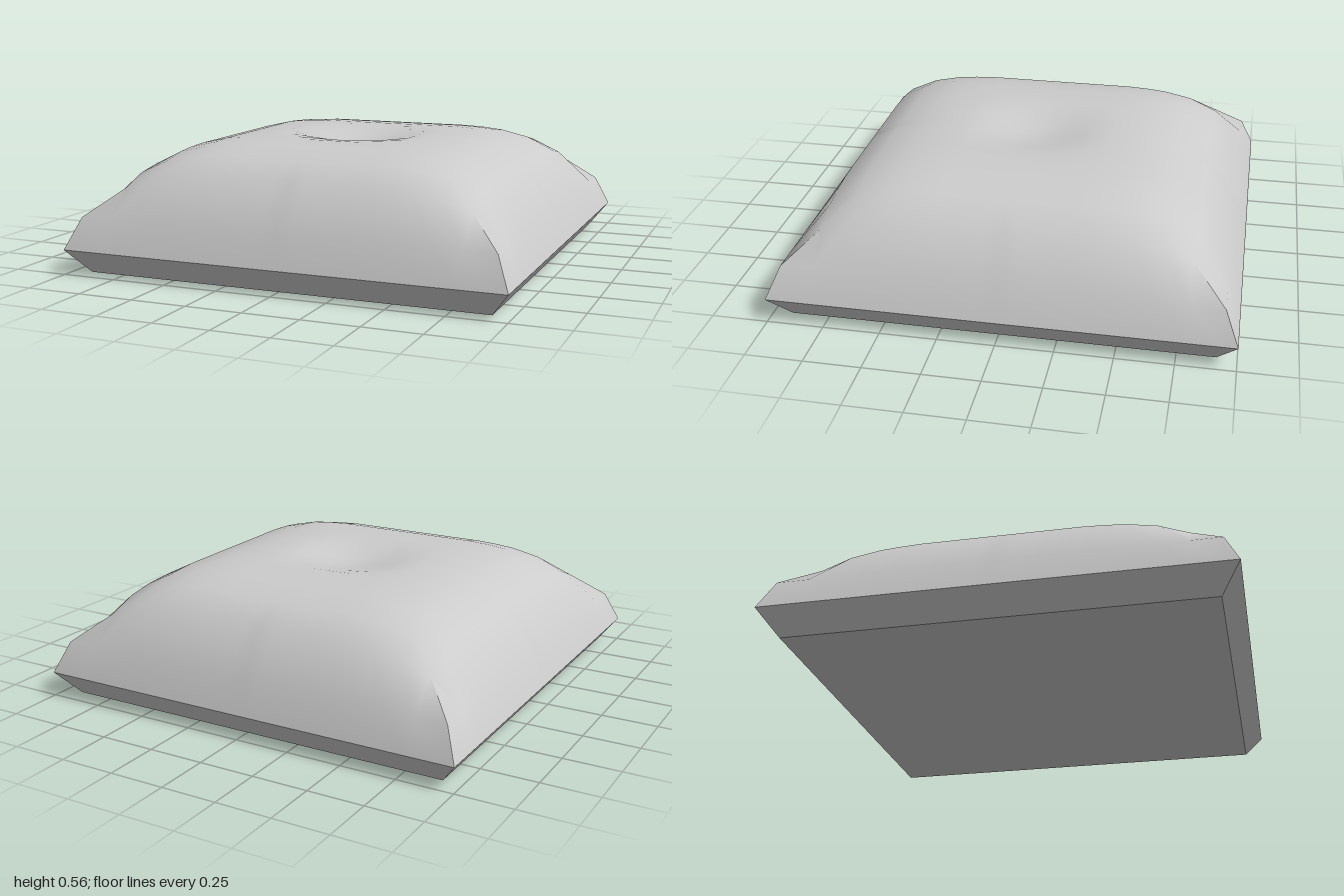
import * as THREE from 'three';
import { toCreasedNormals } from 'three/addons/utils/BufferGeometryUtils.js';

const RIM = 0.11; // height of the widest edge
const PUFF = 0.45; // rise of the padding above the rim

// [distance from the centre, share of the full puff]
const profile = [
  [0, 1], [0.07, 1], [0.14, 1], [0.21, 1], [0.28, 1], [0.35, 1], [0.45, 0.988],
  [0.54, 0.967], [0.67, 0.9], [0.8, 0.755], [0.94, 0.31], [1, 0],
];

function cushionTop() {
  const mirrored = profile.slice(1).reverse().map(([d, f]) => [-d, f]);
  const line = [...mirrored, ...profile];
  const n = line.length;
  const positions = [];
  const index = [];
  for (const [z, fz] of line) {
    for (const [x, fx] of line) {
      const outer = Math.max(Math.abs(x), Math.abs(z));
      // the outer ring keeps one height, which pinches the corners up
      const share = outer > 0.9 ? Math.min(fx, fz) : fx * fz;
      const r = Math.min(1, Math.hypot(x, z) / 0.34);
      const dimple = 0.045 * (1 - r * r) ** 2;
      positions.push(x, RIM + PUFF * share - dimple, z);
    }
  }
  for (let j = 0; j < n - 1; j++) {
    for (let i = 0; i < n - 1; i++) {
      const a = j * n + i, b = a + 1, c = a + n, d = c + 1;
      // quads are split along the line towards their corner
      const outward = (line[i][0] + line[i + 1][0]) * (line[j][0] + line[j + 1][0]) > 0;
      if (outward) index.push(a, c, d, a, d, b);
      else index.push(a, c, b, b, c, d);
    }
  }
  const geometry = new THREE.BufferGeometry();
  geometry.setAttribute('position', new THREE.Float32BufferAttribute(positions, 3));
  geometry.setIndex(index);
  return toCreasedNormals(geometry, 0.8);
}

function taperedBase() {
  const geometry = new THREE.CylinderGeometry(Math.SQRT2, 0.915 * Math.SQRT2, RIM, 4);
  geometry.rotateY(Math.PI / 4).translate(0, RIM / 2, 0);
  return toCreasedNormals(geometry, 0.1);
}

export function createModel() {
  const fabric = new THREE.MeshStandardMaterial({ color: 0xcccccc });
  fabric.name = 'light grey fabric';
  const group = new THREE.Group();
  group.name = 'cushion';
  const add = (name, geometry) => {
    const mesh = new THREE.Mesh(geometry, fabric);
    mesh.name = name;
    group.add(mesh);
  };
  add('paddedTop', cushionTop());
  add('base', taperedBase());
  return group;
}
